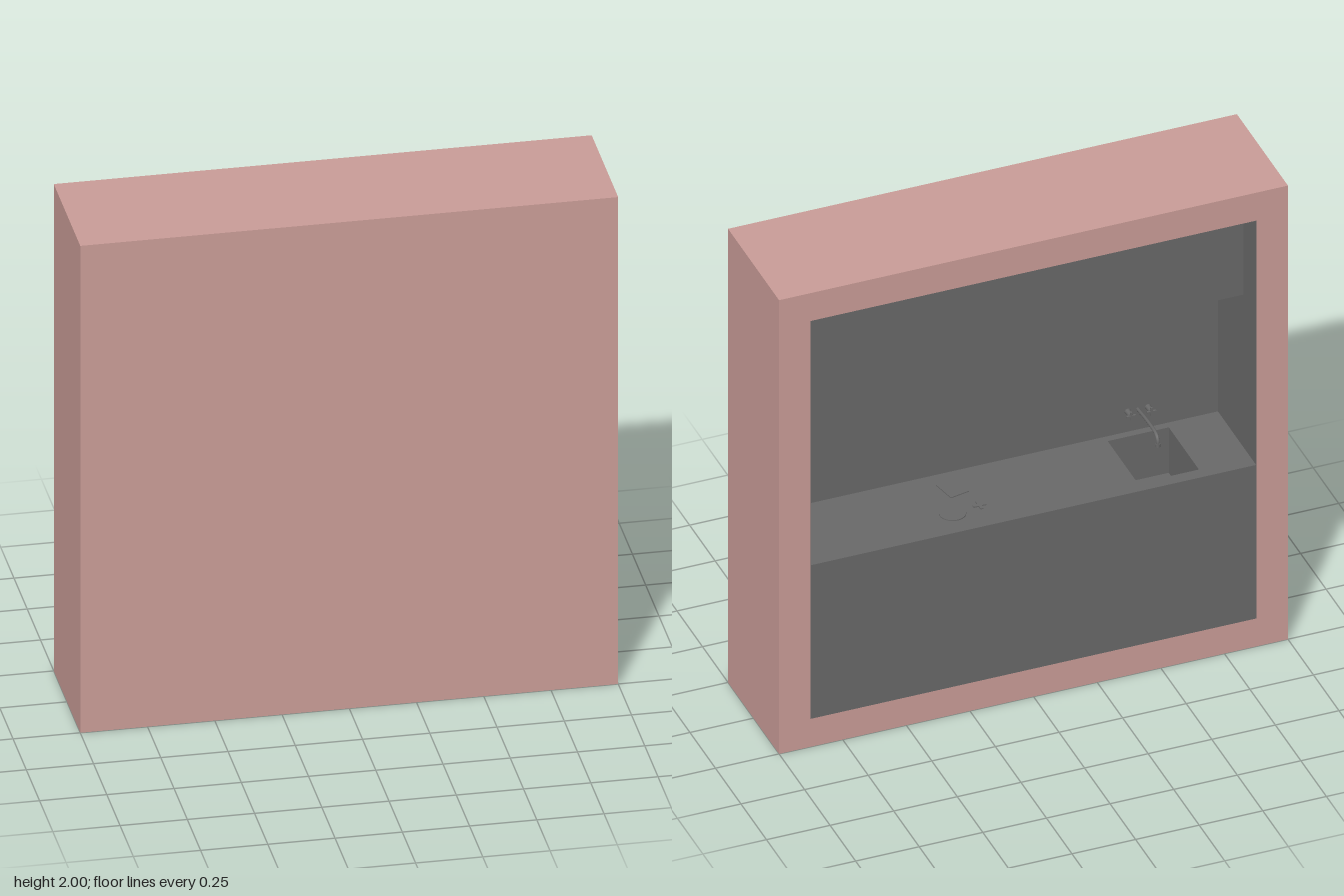
import * as THREE from 'three';

const WALL = 0.123;           // thickness of the surround
const IN = 1 - WALL;          // half width of the opening
const BACK = 0.25 - WALL;     // z of the niche's inner wall
const COUNTER = 0.8;

const wallMat = new THREE.MeshStandardMaterial({ color: 0xc99c97 });
const kitchenMat = new THREE.MeshStandardMaterial({ color: 0x686868 });

function add(group, name, geometry, material, x = 0, y = 0, z = 0) {
  const mesh = new THREE.Mesh(geometry, material);
  mesh.name = name;
  mesh.position.set(x, y, z);
  group.add(mesh);
  return mesh;
}

// Box given by its lower and upper corners
function block(group, name, material, [x0, y0, z0], [x1, y1, z1]) {
  return add(group, name, new THREE.BoxGeometry(x1 - x0, y1 - y0, z1 - z0), material,
    (x0 + x1) / 2, (y0 + y1) / 2, (z0 + z1) / 2);
}

function rect(PathType, x0, y0, x1, y1) {
  return new PathType([[x0, y0], [x1, y0], [x1, y1], [x0, y1]].map(p => new THREE.Vector2(...p)));
}

// Rectangular plate with a rectangular hole
function holed(outer, inner, depth) {
  const shape = rect(THREE.Shape, ...outer);
  shape.holes.push(rect(THREE.Path, ...inner));
  return new THREE.ExtrudeGeometry(shape, { depth, bevelEnabled: false });
}

export function createModel() {
  const model = new THREE.Group();
  model.name = 'kitchenNiche';

  // Wall with an opening toward the back, closed at the front
  const depth = BACK + 0.25;
  add(model, 'wallFrame', holed([-1, 0, 1, 2], [-IN, WALL, IN, 2 - WALL], depth), wallMat, 0, 0, -0.25);
  block(model, 'frontWall', wallMat, [-1, 0, BACK], [1, 2, 0.25]);

  // Grey lining of the niche
  const t = 0.002, k = IN - t;
  add(model, 'nicheLining', holed([-IN, WALL, IN, 2 - WALL], [-k, WALL + t, k, 2 - WALL - t], depth),
    kitchenMat, 0, 0, -0.25);
  block(model, 'splashback', kitchenMat, [-k, COUNTER, BACK - t], [k, 2 - WALL - t, BACK]);

  // Base cabinet with the sink cut into its worktop
  const sink = { x0: -0.67, x1: -0.43, z0: -0.2, z1: 0.095 };
  const base = holed([-k, -BACK, k, 0.25], [sink.x0, -sink.z1, sink.x1, -sink.z0], COUNTER - WALL);
  base.rotateX(-Math.PI / 2);
  add(model, 'baseCabinet', base, kitchenMat, 0, WALL, 0);
  block(model, 'sinkFloor', kitchenMat, [sink.x0, 0.58, sink.z0], [sink.x1, 0.6, sink.z1]);

  // Wall cabinet under the ceiling
  block(model, 'wallCabinet', kitchenMat, [-k, 1.472, -0.125], [k, 2 - WALL - t, BACK]);

  // Wall-mounted tap: bent spout and two handles
  const tap = new THREE.Group();
  tap.name = 'tap';
  tap.position.set(-0.56, 0.89, BACK);
  model.add(tap);
  const path = new THREE.CatmullRomCurve3([
    [0, 0, 0], [0, 0.008, -0.1], [0, 0.004, -0.18], [0, -0.012, -0.198], [0, -0.035, -0.2],
  ].map(p => new THREE.Vector3(...p)));
  add(tap, 'spout', new THREE.TubeGeometry(path, 20, 0.007, 8), kitchenMat);
  add(tap, 'spoutTip', new THREE.CylinderGeometry(0.009, 0.009, 0.012, 10), kitchenMat, 0, -0.035, -0.2);
  for (const side of [-1, 1]) {
    const stem = new THREE.CylinderGeometry(0.009, 0.012, 0.035, 10).rotateX(-Math.PI / 2);
    add(tap, 'handleStem', stem, kitchenMat, side * 0.04, 0, -0.0175);
    for (const turn of [0, Math.PI / 2]) {
      const bar = add(tap, 'handleBar', new THREE.BoxGeometry(0.036, 0.007, 0.008), kitchenMat,
        side * 0.04, 0, -0.037);
      bar.rotation.z = turn;
    }
  }

  // Low relief pieces of the cooking area
  const y = COUNTER + 0.002;
  add(model, 'hotplate', new THREE.CylinderGeometry(0.05, 0.05, 0.004, 32), kitchenMat, 0.27, y, -0.13);
  const rest = add(model, 'potRest', new THREE.BoxGeometry(0.08, 0.004, 0.1), kitchenMat, 0.21, y, 0.02);
  rest.rotation.y = 0.2;
  for (const turn of [0, Math.PI / 2]) {
    const bar = add(model, 'burnerCross', new THREE.BoxGeometry(0.05, 0.006, 0.012), kitchenMat, 0.16, y, -0.12);
    bar.rotation.y = turn;
  }
  return model;
}
